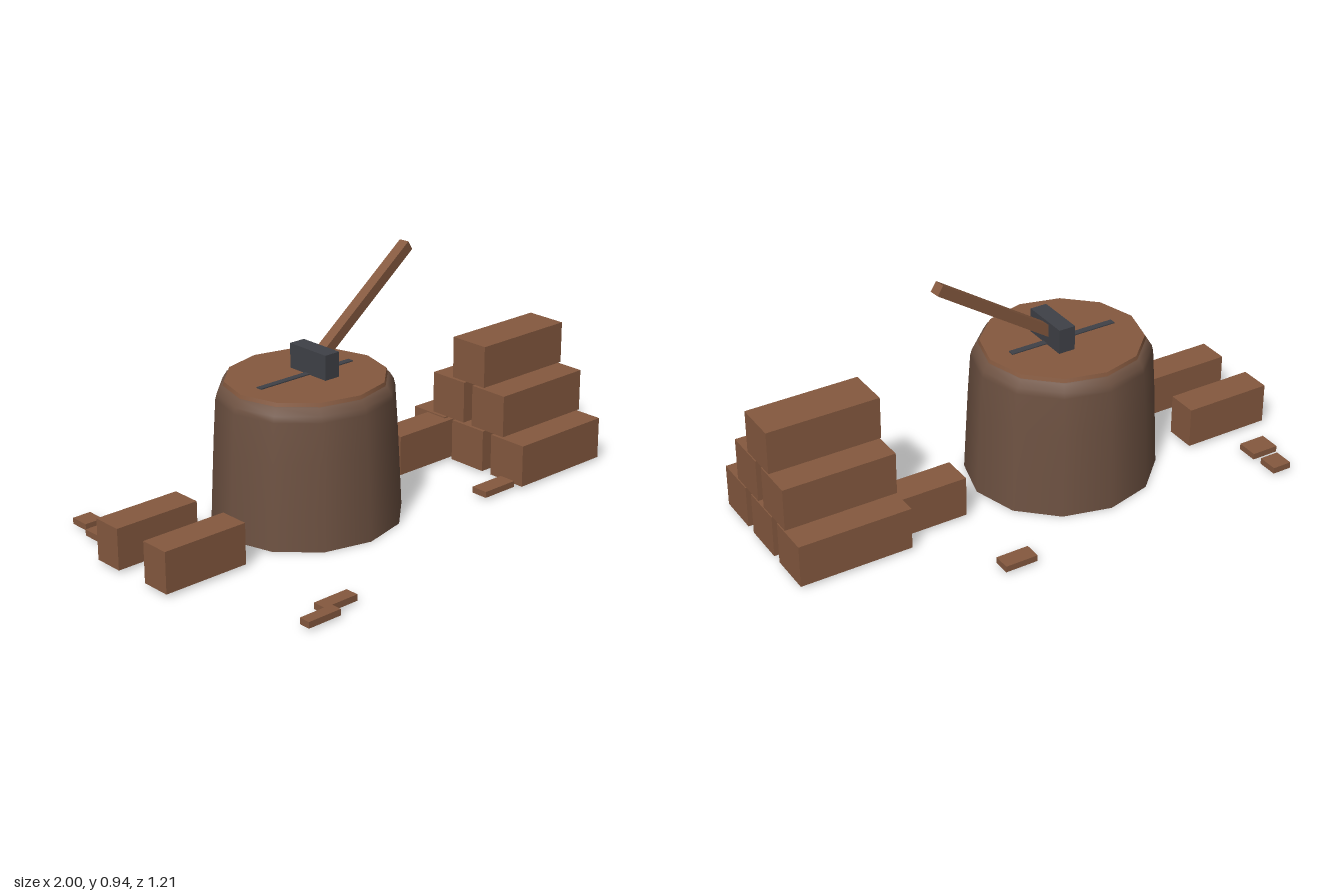
import * as THREE from 'three';

const mat = (name, color) => new THREE.MeshStandardMaterial({ name, color });

export function createModel() {
  const wood = mat('cut wood', 0x85593f);
  const bark = mat('bark', 0x6e5242);
  const metal = mat('dark steel', 0x3f4147);
  const model = new THREE.Group();
  model.name = 'choppingBlock';

  // Axis-aligned box from its minimum and maximum on each axis
  const box = (name, material, [x0, x1], [y0, y1], [z0, z1]) => {
    const mesh = new THREE.Mesh(new THREE.BoxGeometry(x1 - x0, y1 - y0, z1 - z0), material);
    mesh.position.set((x0 + x1) / 2, (y0 + y1) / 2, (z0 + z1) / 2);
    mesh.name = name;
    model.add(mesh);
    return mesh;
  };

  // Stump: smooth twelve-sided bark, flat base and cut top
  const stump = new THREE.Group();
  stump.name = 'stump';
  stump.position.set(-0.18, 0, -0.115);
  stump.scale.z = 0.95;
  const profile = [[0.365, 0], [0.357, 0.16], [0.348, 0.33], [0.338, 0.48], [0.332, 0.503], [0.315, 0.53], [0.29, 0.533]]
    .map(([r, y]) => new THREE.Vector2(r, y));
  const side = new THREE.Mesh(new THREE.LatheGeometry(profile, 12), bark);
  side.name = 'stumpBark';
  const base = new THREE.Mesh(new THREE.CircleGeometry(0.365, 12), bark);
  base.rotation.x = Math.PI / 2;
  base.name = 'stumpBase';
  const top = new THREE.Mesh(new THREE.CylinderGeometry(0.305, 0.311, 0.02, 12), wood);
  top.position.y = 0.535;
  top.name = 'stumpTop';
  stump.add(side, base, top);
  model.add(stump);

  // Split in the stump top and the axe stuck in it
  box('crack', metal, [-0.4, 0.04], [0.541, 0.549], [-0.129, -0.104]);
  box('axeHead', metal, [-0.172, -0.106], [0.54, 0.64], [-0.21, -0.018]);
  const start = new THREE.Vector3(-0.13, 0.587, -0.115);
  const end = new THREE.Vector3(0.36, 0.918, -0.158);
  const d = end.clone().sub(start);
  const handle = new THREE.Mesh(new THREE.BoxGeometry(d.length(), 0.041, 0.042), wood);
  handle.position.copy(start).add(end).multiplyScalar(0.5);
  handle.rotation.order = 'YZX';
  handle.rotation.y = Math.atan2(-d.z, d.x);
  handle.rotation.z = Math.atan2(d.y, Math.hypot(d.x, d.z));
  handle.name = 'axeHandle';
  model.add(handle);

  // Stacked firewood: three, two, one
  [[0.193, -0.017, -0.225], [0.088, -0.122], [-0.017]].forEach((row, i) => {
    const y = 0.01 + i * 0.172;
    for (const z of row) box('stackedLog', wood, [0.563, 1], [y, y + 0.165], [z - 0.083, z + 0.083]);
  });

  // Split pieces lying beside the stump
  for (const [x, z] of [[0.3, -0.177], [-1, -0.23], [-0.993, 0.03]]) {
    box('splitLog', wood, [x, x + 0.348], [0.012, 0.17], [z - 0.06, z + 0.06]);
  }

  // Wood chips on the ground: x range, z range
  const chips = [
    [-0.886, -0.81, -0.605, -0.526], [-0.912, -0.805, -0.49, -0.406],
    [0.23, 0.358, -0.605, -0.54], [0.386, 0.54, 0.186, 0.256],
    [-0.696, -0.549, 0.505, 0.558], [-0.802, -0.662, 0.555, 0.6],
  ];
  for (const [x0, x1, z0, z1] of chips) box('chip', wood, [x0, x1], [0.01, 0.034], [z0, z1]);

  return model;
}
